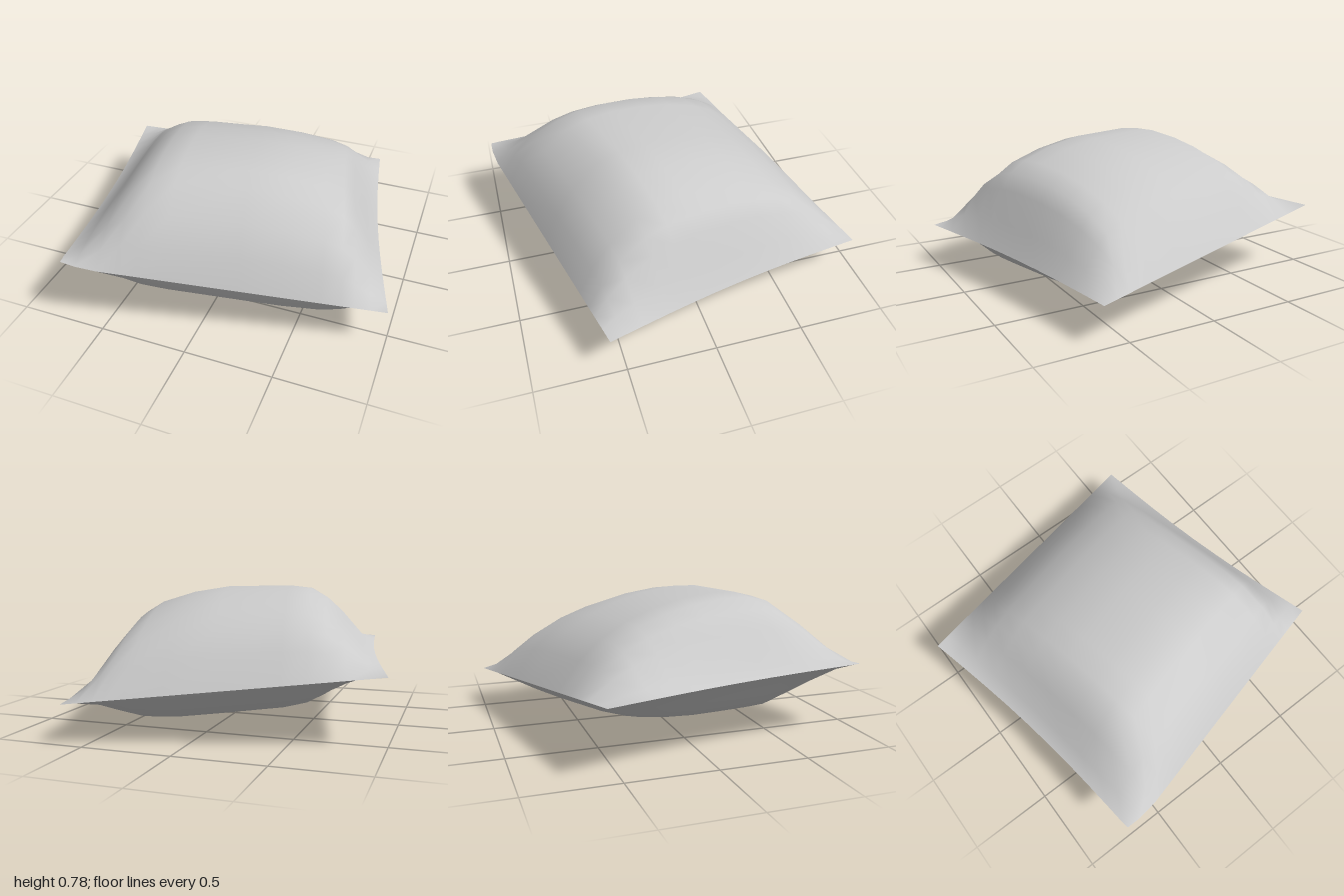
import * as THREE from 'three';

// Stations across (u: right side to left side) and along (v: back to front)
const U = [0, 0.05, 0.12, 0.18, 0.24, 0.32, 0.55, 0.68, 0.8, 0.86, 0.9, 0.95, 1];
const V = [0, 0.08, 0.16, 0.25, 0.36, 0.47, 0.6, 0.7, 0.78, 0.88, 0.95, 1];

// How full the stuffing is at each station
const TOP = {
  height: 0.475,
  u: [0, 0.13, 0.5, 0.72, 0.87, 0.93, 1, 0.97, 0.88, 0.77, 0.6, 0.26, 0],
  v: [0, 0.35, 0.58, 0.75, 0.88, 0.96, 1, 0.98, 0.9, 0.64, 0.33, 0],
};
const BOTTOM = {
  height: -0.285,
  u: [0, 0.15, 0.46, 0.7, 0.9, 0.98, 1, 1, 0.91, 0.72, 0.52, 0.2, 0],
  v: [0, 0.3, 0.54, 0.73, 0.86, 0.94, 0.98, 1, 1, 0.81, 0.46, 0],
};

// Seam corners
const backRight = new THREE.Vector3(-1.0, 0.385, -0.575);
const backLeft = new THREE.Vector3(0.63, 0.218, -0.985);
const frontRight = new THREE.Vector3(-0.72, 0.41, 1.015);
const frontLeft = new THREE.Vector3(0.995, 0.248, 0.58);

// Tilted seam surface with the two sides pulled inwards
function seamPoint(u, v) {
  const back = backRight.clone().lerp(backLeft, u);
  const front = frontRight.clone().lerp(frontLeft, u);
  const p = back.lerp(front, v);
  p.x += 0.036 * (1 - 2 * u) * Math.sin(Math.PI * v);
  p.z = Math.min(p.z, 0.98);
  return p;
}

// One fabric panel, bulging away from the seam
function panel(name, side, material) {
  const positions = [], index = [];
  V.forEach((v, j) => U.forEach((u, i) => {
    const p = seamPoint(u, v);
    positions.push(p.x, p.y + side.height * side.u[i] * side.v[j], p.z);
  }));
  const n = U.length;
  for (let j = 0; j < V.length - 1; j++) {
    for (let i = 0; i < n - 1; i++) {
      const a = j * n + i, b = a + 1, c = a + n, d = c + 1;
      if (side.height > 0) index.push(a, c, b, b, c, d);
      else index.push(a, b, c, b, d, c);
    }
  }
  const geometry = new THREE.BufferGeometry();
  geometry.setAttribute('position', new THREE.Float32BufferAttribute(positions, 3));
  geometry.setIndex(index);
  geometry.computeVertexNormals();
  const mesh = new THREE.Mesh(geometry, material);
  mesh.name = name;
  return mesh;
}

export function createModel() {
  const pillow = new THREE.Group();
  pillow.name = 'pillow';
  const material = new THREE.MeshStandardMaterial({ color: 0xcccccc });
  pillow.add(panel('topPanel', TOP, material), panel('bottomPanel', BOTTOM, material));
  return pillow;
}
